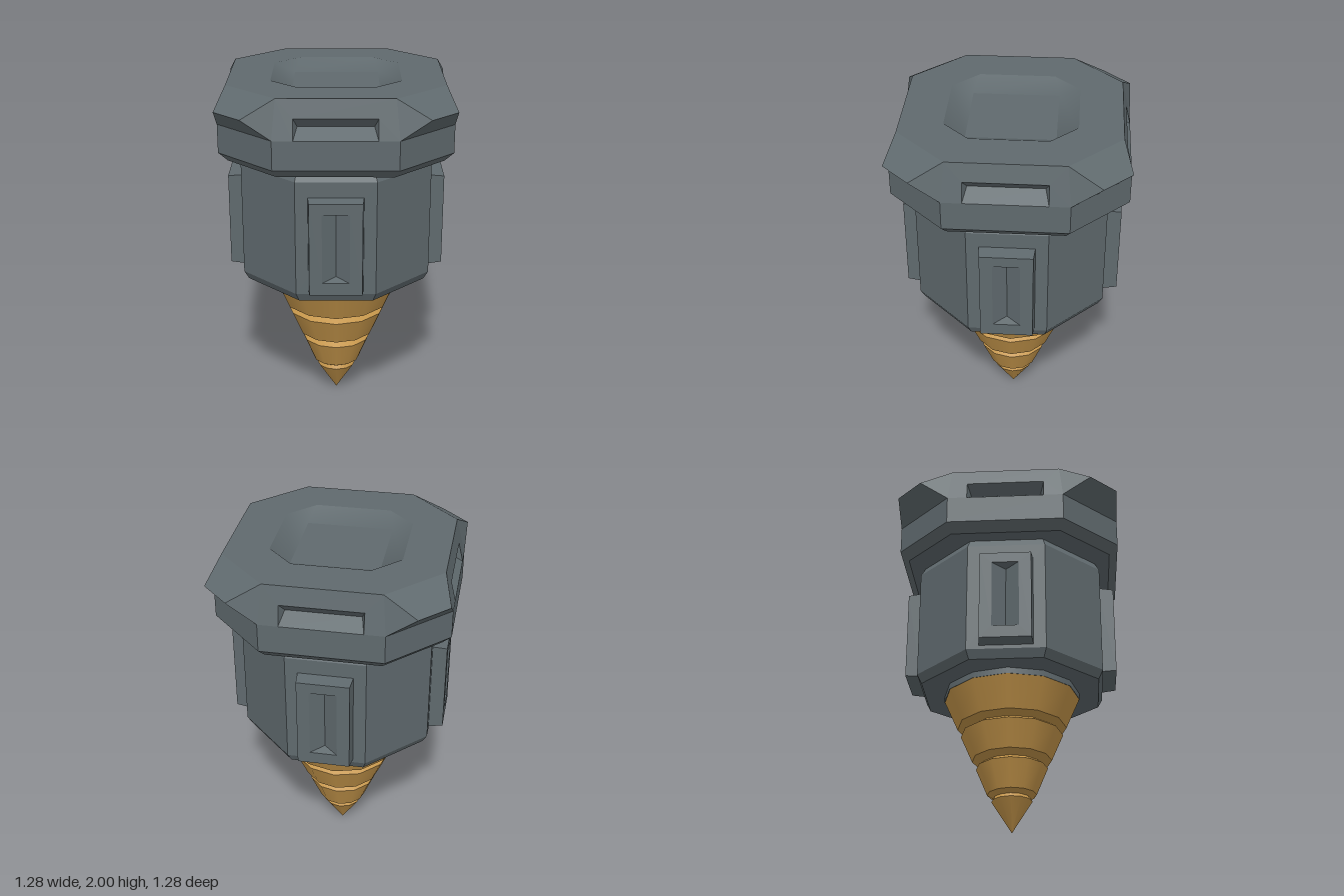
import * as THREE from 'three';
import { toCreasedNormals } from 'three/addons/utils/BufferGeometryUtils.js';

const grey = new THREE.MeshStandardMaterial({ color: 0x5f696d });
grey.name = 'slate grey';
const gold = new THREE.MeshStandardMaterial({ color: 0xc4954a });
gold.name = 'bronze';

// Faceted geometry from polygons (counter-clockwise corners), dropping empty triangles
function facets(polys) {
  const out = [];
  const tri = new THREE.Triangle();
  for (const p of polys) {
    for (let k = 1; k < p.length - 1; k++) {
      tri.set(...[p[0], p[k], p[k + 1]].map(v => new THREE.Vector3(...v)));
      if (tri.getArea() > 1e-7) out.push(...p[0], ...p[k], ...p[k + 1]);
    }
  }
  const g = new THREE.BufferGeometry();
  g.setAttribute('position', new THREE.Float32BufferAttribute(out, 3));
  g.computeVertexNormals();
  return g;
}

// Octagon ring: h = half width, f = half length of each main side
const octagon = ([h, f, y]) =>
  [[f, h], [h, f], [h, -f], [f, -h], [-f, -h], [-h, -f], [-h, f], [-f, h]].map(([x, z]) => [x, y, z]);

// Skin joining successive closed rings
function skin(rings) {
  const polys = [];
  for (let r = 0; r < rings.length - 1; r++) {
    const a = rings[r], b = rings[r + 1], n = a.length;
    for (let k = 0; k < n; k++) {
      const m = (k + 1) % n;
      polys.push([a[k], a[m], b[m], b[k]]);
    }
  }
  return polys;
}
const loft = rows => facets(skin(rows.map(octagon)));

// Rectangle facing +z, may lean between its lower and upper edge
const rect = (w, y0, y1, z0, z1 = z0) => [[-w, y0, z0], [w, y0, z0], [w, y1, z1], [-w, y1, z1]];

export function createModel() {
  const model = new THREE.Group();
  const add = (name, geometry, material = grey, parent = model) => {
    const mesh = new THREE.Mesh(geometry, material);
    mesh.name = name;
    parent.add(mesh);
    return mesh;
  };

  // Octagonal housing with chamfered rims
  add('housing', loft([
    [0, 0, 0.83], [0.505, 0.205, 0.83], [0.53, 0.22, 0.88],
    [0.53, 0.22, 1.53], [0.50, 0.205, 1.59],
  ]));

  // Lower band of the cap, and its top deck
  add('capBand', loft([[0, 0, 1.58], [0.59, 0.31, 1.58], [0.64, 0.33, 1.63], [0.64, 0.33, 1.79]]));
  add('capDeck', loft([[0.59, 0.31, 2], [0.355, 0.21, 2]]));

  // Dished recess in the top
  add('recessWall', toCreasedNormals(loft([[0.355, 0.21, 2], [0.24, 0.24, 1.94]]), 1));
  add('recessFloor', loft([[0.24, 0.24, 1.94], [0, 0, 1.94]]));

  // One side of the cap: slotted sloping face and the flared corner beside it
  const slot = rect(0.22, 1.79, 1.9, 0.64, 0.614);
  const [bl, br, tr, tl] = slot;
  const vl = [-0.2, 1.845, 0.56], vr = [0.2, 1.845, 0.56];
  const face = [[-0.33, 1.79, 0.64], [0.33, 1.79, 0.64], [0.31, 2, 0.59], [-0.31, 2, 0.59]];
  const tipA = [0.49, 1.9, 0.64], tipB = [0.64, 1.9, 0.49], tipL = [-0.49, 1.9, 0.64];
  const capSide = facets([
    ...skin([face, slot]),
    [bl, br, vr, vl], [vl, vr, tr, tl], [bl, vl, tl], [br, tr, vr],
    [face[1], tipA, face[2]], [face[0], face[3], tipL],
    [face[1], [0.64, 1.79, 0.33], tipB, tipA],
    [tipA, tipB, [0.59, 2, 0.31], face[2]],
  ]);

  // Raised side panel with a V-shaped groove
  const groove = rect(0.075, 0.98, 1.375, 0.61);
  const [gbl, gbr, gtr, gtl] = groove;
  const vb = [0, 1.0, 0.56], vt = [0, 1.355, 0.56];
  const panel = facets([
    ...skin([rect(0.152, 0.9, 1.445, 0.52), rect(0.144, 0.91, 1.435, 0.61), groove]),
    [gbl, vb, vt, gtl], [vb, gbr, gtr, vt], [gbl, gbr, vb], [gtl, vt, gtr],
  ]);

  // Same parts on all four sides
  for (let i = 0; i < 4; i++) {
    const side = new THREE.Group();
    side.name = 'side' + (i + 1);
    side.rotation.y = i * Math.PI / 2;
    add('capSide', capSide, grey, side);
    add('sidePanel', panel, grey, side);
    model.add(side);
  }

  // Collar between the housing and the drill
  const collar = new THREE.CylinderGeometry(0.395, 0.395, 0.04, 12);
  add('collar', collar).position.y = 0.815;

  // Stepped drill: one open band per profile step, [radius, height]
  const profile = [
    [0.393, 0.796], [0.315, 0.62], [0.255, 0.6], [0.295, 0.575], [0.228, 0.422], [0.168, 0.4],
    [0.205, 0.375], [0.14, 0.22], [0.105, 0.2], [0.116, 0.18], [0, 0],
  ];
  for (let i = 0; i < profile.length - 1; i++) {
    const [r0, y0] = profile[i], [r1, y1] = profile[i + 1];
    const band = new THREE.CylinderGeometry(r0, r1, y0 - y1, 12, 1, true);
    add('drillBand', band, gold).position.y = (y0 + y1) / 2;
  }
  return model;
}
